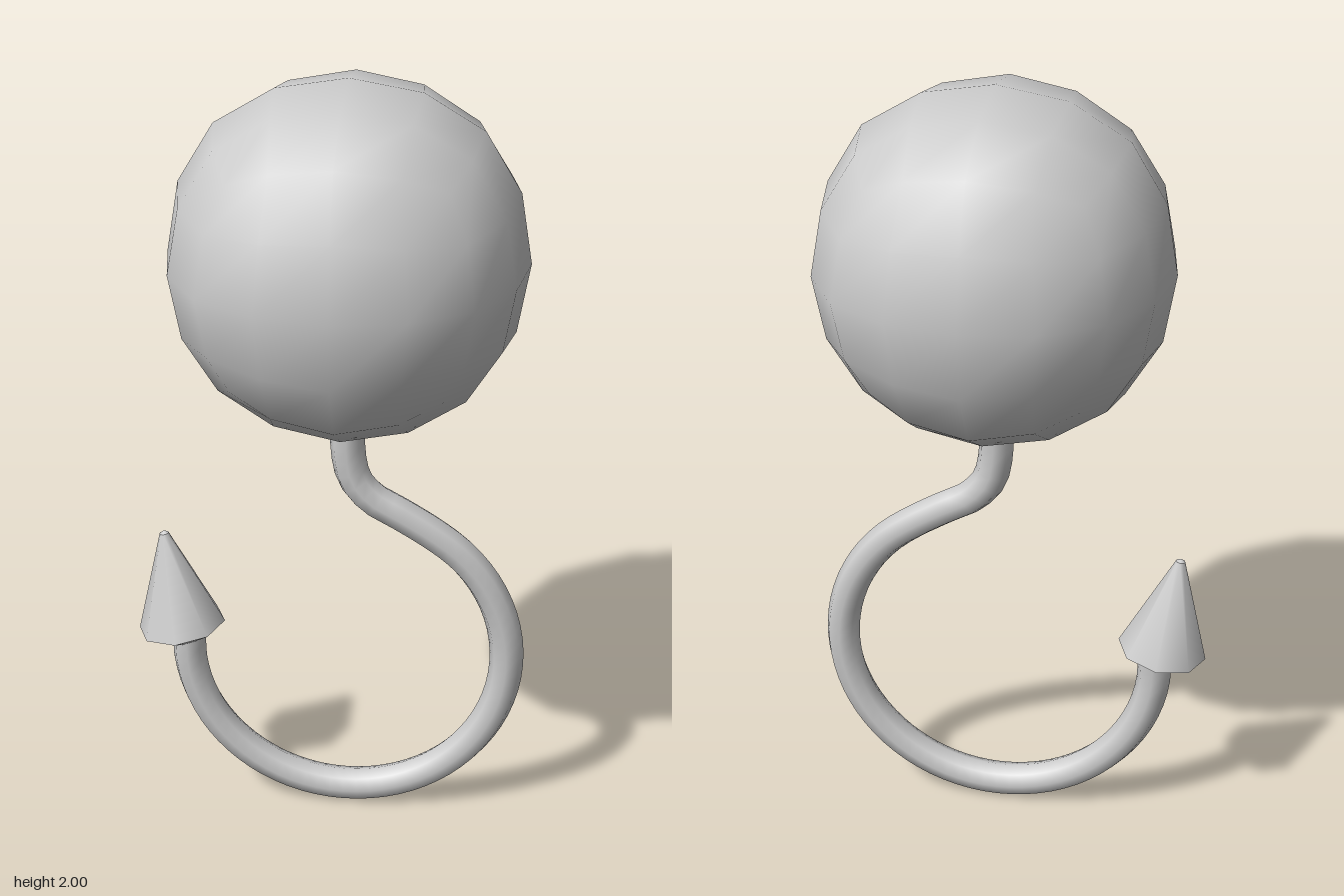
import * as THREE from 'three';
import { mergeVertices } from 'three/addons/utils/BufferGeometryUtils.js';

const material = new THREE.MeshStandardMaterial({ color: 0xcccccc });

function addMesh(parent, name, geometry, mat = material) {
  const mesh = new THREE.Mesh(geometry, mat);
  mesh.name = name;
  parent.add(mesh);
  return mesh;
}

// Ball: a cube smoothed twice. Each grid point of the 4x4 cube moves to its
// smoothed place, looked up by its absolute coordinates, largest first.
function smoothedCube() {
  const places = {
    '200': [0.8785, 0, 0],
    '210': [0.8194, 0.3507, 0],
    '211': [0.7639, 0.3264, 0.3264],
    '220': [0.6432, 0.6432, 0],
    '221': [0.599, 0.599, 0.3021],
    '222': [0.5093, 0.5093, 0.5093],
  };
  const box = new THREE.BoxGeometry(4, 4, 4, 4, 4, 4);
  box.deleteAttribute('normal');
  box.deleteAttribute('uv');
  const geometry = mergeVertices(box);
  const pos = geometry.attributes.position;
  for (let i = 0; i < pos.count; i++) {
    const p = [pos.getX(i), pos.getY(i), pos.getZ(i)].map(Math.round);
    const order = [0, 1, 2].sort((a, b) => Math.abs(p[b]) - Math.abs(p[a]));
    const place = places[order.map((k) => Math.abs(p[k])).join('')];
    const q = [0, 0, 0];
    order.forEach((axis, k) => { q[axis] = Math.sign(p[axis]) * place[k]; });
    pos.setXYZ(i, ...q);
  }
  geometry.computeVertexNormals();
  return geometry;
}

export function createModel() {
  const model = new THREE.Group();
  model.name = 'ballHook';
  const axisX = 0.04;

  const ball = addMesh(model, 'ball', smoothedCube());
  ball.scale.setScalar(0.5);
  ball.position.set(axisX, 1.56, 0);

  // Hook: a stem that swings out into a round bend
  const path = [[axisX, 1.24], [axisX, 1.12], [0.043, 1.03], [0.06, 0.965], [0.105, 0.913], [0.17, 0.876]]
    .map(([x, y]) => new THREE.Vector3(x, y, 0));
  for (let deg = 58; deg >= -184; deg -= 11) {
    const a = THREE.MathUtils.degToRad(deg);
    path.push(new THREE.Vector3(axisX + 0.418 * Math.cos(a), 0.465 + 0.418 * Math.sin(a), 0));
  }
  addMesh(model, 'hook', new THREE.TubeGeometry(new THREE.CatmullRomCurve3(path), 64, 0.044, 8));

  // Barbed tip: a tall cone over a short tapered underside
  const barb = new THREE.Group();
  barb.name = 'barb';
  barb.position.set(-0.395, 0.515, 0);
  barb.rotation.z = THREE.MathUtils.degToRad(8.4);
  model.add(barb);
  const lathe = (points) => new THREE.LatheGeometry(points.map(([r, y]) => new THREE.Vector2(r, y)), 8);
  addMesh(barb, 'barbPoint', lathe([[0.115, 0], [0.012, 0.27]]));
  addMesh(barb, 'barbCap', lathe([[0.012, 0.27], [0, 0.277]]));
  addMesh(barb, 'barbUnderside', lathe([[0.035, -0.045], [0.115, 0]]));

  return model;
}
